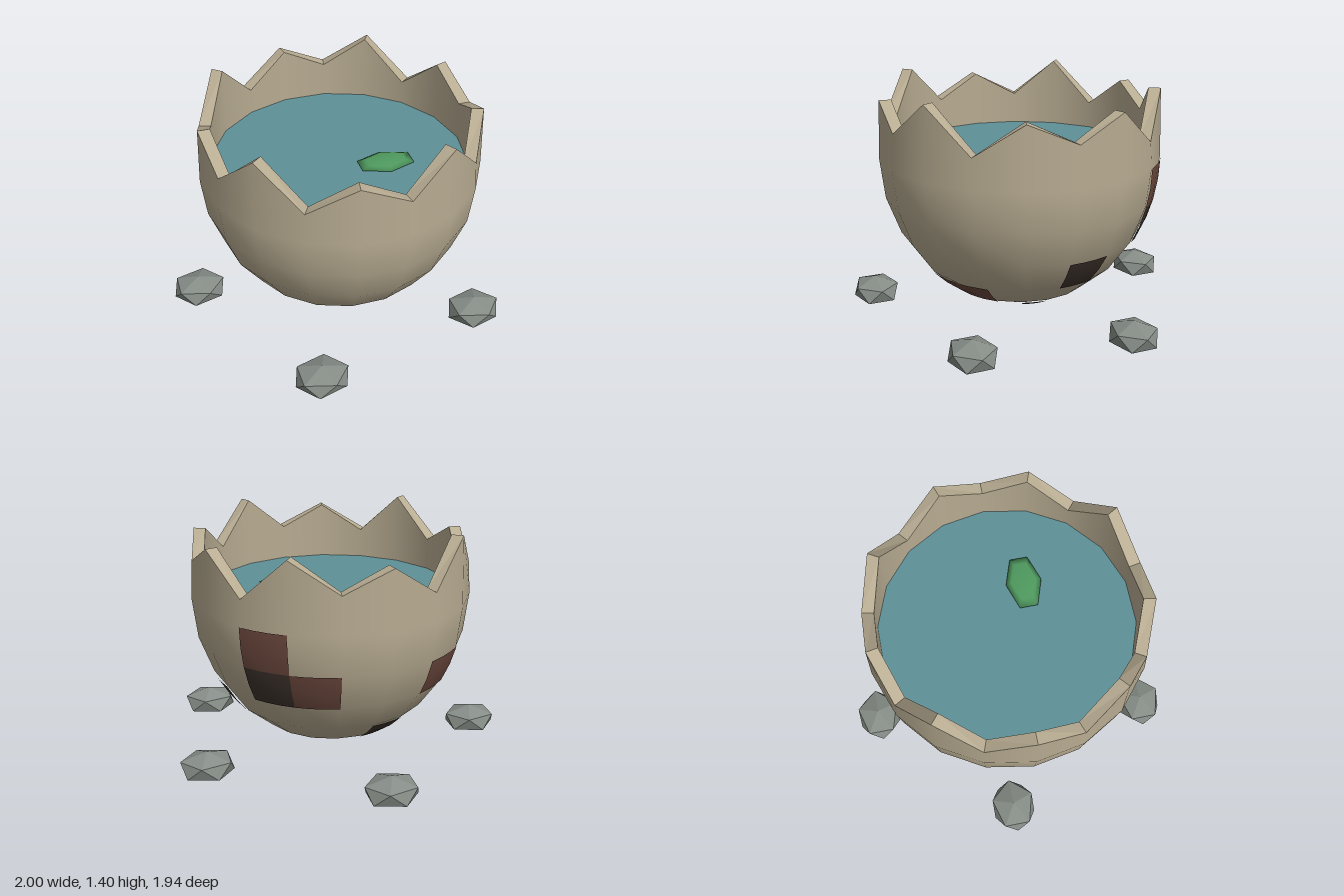
import * as THREE from 'three';

const SEG = 18, RX = 0.82, RY = 0.91, MID = 0.98;
const rad = THREE.MathUtils.degToRad;

const mat = (name, color, extra = {}) => {
  const m = new THREE.MeshStandardMaterial({ color, ...extra });
  m.name = name;
  return m;
};

// ring of 18 points; radius fixed, height given per corner
const ring = (r, height) => Array.from({ length: SEG }, (_, i) => {
  const a = rad(i * 20);
  return new THREE.Vector3(r * Math.cos(a), height(i), r * Math.sin(a));
});

// band of quads from ring a (first) to ring b; radial = +1 / -1 gives smooth normals, 0 gives flat ones
function band(a, b, radial) {
  const pos = [];
  for (let i = 0; i < SEG; i++) {
    const j = (i + 1) % SEG;
    for (const p of [a[i], b[i], b[j], a[i], b[j], a[j]]) pos.push(p.x, p.y, p.z);
  }
  const g = new THREE.BufferGeometry();
  g.setAttribute('position', new THREE.Float32BufferAttribute(pos, 3));
  g.computeVertexNormals();
  if (radial) {
    const n = g.attributes.normal, v = new THREE.Vector3();
    for (let i = 0; i < n.count; i++) {
      v.set(pos[i * 3], 0, pos[i * 3 + 2]).normalize().multiplyScalar(radial);
      n.setXYZ(i, v.x, 0, v.z);
    }
  }
  return g;
}

export function createModel() {
  const model = new THREE.Group();
  const shellMat = mat('shell', 0xb8ac92);
  const redMat = mat('redBrownPatch', 0x6b483d);
  const darkMat = mat('darkBrownPatch', 0x3e332c);
  const waterMat = mat('water', 0x5e9098);
  const leafMat = mat('leaf', 0x4f9a5f);
  const stoneMat = mat('stone', 0x868d87, { flatShading: true });

  const add = (parent, name, geometry, material, x = 0, y = 0, z = 0) => {
    const m = new THREE.Mesh(geometry, material);
    m.name = name;
    m.position.set(x, y, z);
    parent.add(m);
    return m;
  };

  const egg = new THREE.Group();
  egg.name = 'crackedShell';
  egg.position.set(0.03, 0, 0.03);
  model.add(egg);

  // round lower half
  const bowl = new THREE.SphereGeometry(1, SEG, 6, 0, Math.PI * 2, Math.PI / 2, Math.PI / 2);
  add(egg, 'bowl', bowl.scale(RX, RY, RX), shellMat, 0, MID);

  // upper wall ending in a jagged rim: valley and peak heights alternate
  const rim = [1.21, 1.33, 1.15, 1.395, 1.19, 1.32, 1.16, 1.4, 1.17,
    1.31, 1.17, 1.39, 1.14, 1.32, 1.195, 1.375, 1.13, 1.345];
  const outerTop = ring(0.807, i => rim[i]);
  const innerTop = ring(0.737, i => rim[i]);
  add(egg, 'outerWall', band(ring(RX, () => MID), outerTop, 1), shellMat);
  add(egg, 'brokenRim', band(outerTop, innerTop, 0), shellMat);
  add(egg, 'innerWall', band(innerTop, ring(0.745, () => 0.95), -1), shellMat);

  // patches: [start angle, end angle, lower row in degrees up from the base, material]
  const patches = [
    [300, 320, 75, redMat], [300, 320, 60, darkMat], [280, 300, 60, redMat],
    [340, 360, 45, darkMat], [40, 80, 30, redMat], [140, 160, 30, redMat],
    [0, 20, 15, darkMat], [220, 240, 60, redMat], [240, 260, 30, darkMat],
    [200, 220, 15, redMat],
  ];
  for (const [a0, a1, row, material] of patches) {
    const g = new THREE.SphereGeometry(1, (a1 - a0) / 20, 1,
      rad(180 - a1), rad(a1 - a0), rad(165 - row), rad(15));
    add(egg, 'shellPatch', g.scale(RX + 0.004, RY + 0.004, RX + 0.004), material, 0, MID);
  }

  // water filling the shell, with a floating leaf
  add(egg, 'water', new THREE.CircleGeometry(0.744, SEG).rotateX(-Math.PI / 2), waterMat, 0, 0.98);
  const leaf = new THREE.SphereGeometry(1, 6, 4).rotateY(Math.PI / 2).scale(0.18, 0.025, 0.105);
  add(model, 'floatingLeaf', leaf, leafMat, 0.265, 0.995, 0.175);

  // ring of stones, each a squashed icosahedron standing on its tip
  const stone = new THREE.IcosahedronGeometry(1, 0)
    .rotateZ(-Math.atan(2 / (1 + Math.sqrt(5)))).scale(0.173, 0.088, 0.147);
  const spots = [[-0.845, -0.1], [-0.09, -0.845], [0.845, -0.315], [0.715, 0.585], [-0.325, 0.845]];
  for (const [x, z] of spots) add(model, 'stone', stone, stoneMat, x, 0.09, z);

  return model;
}
